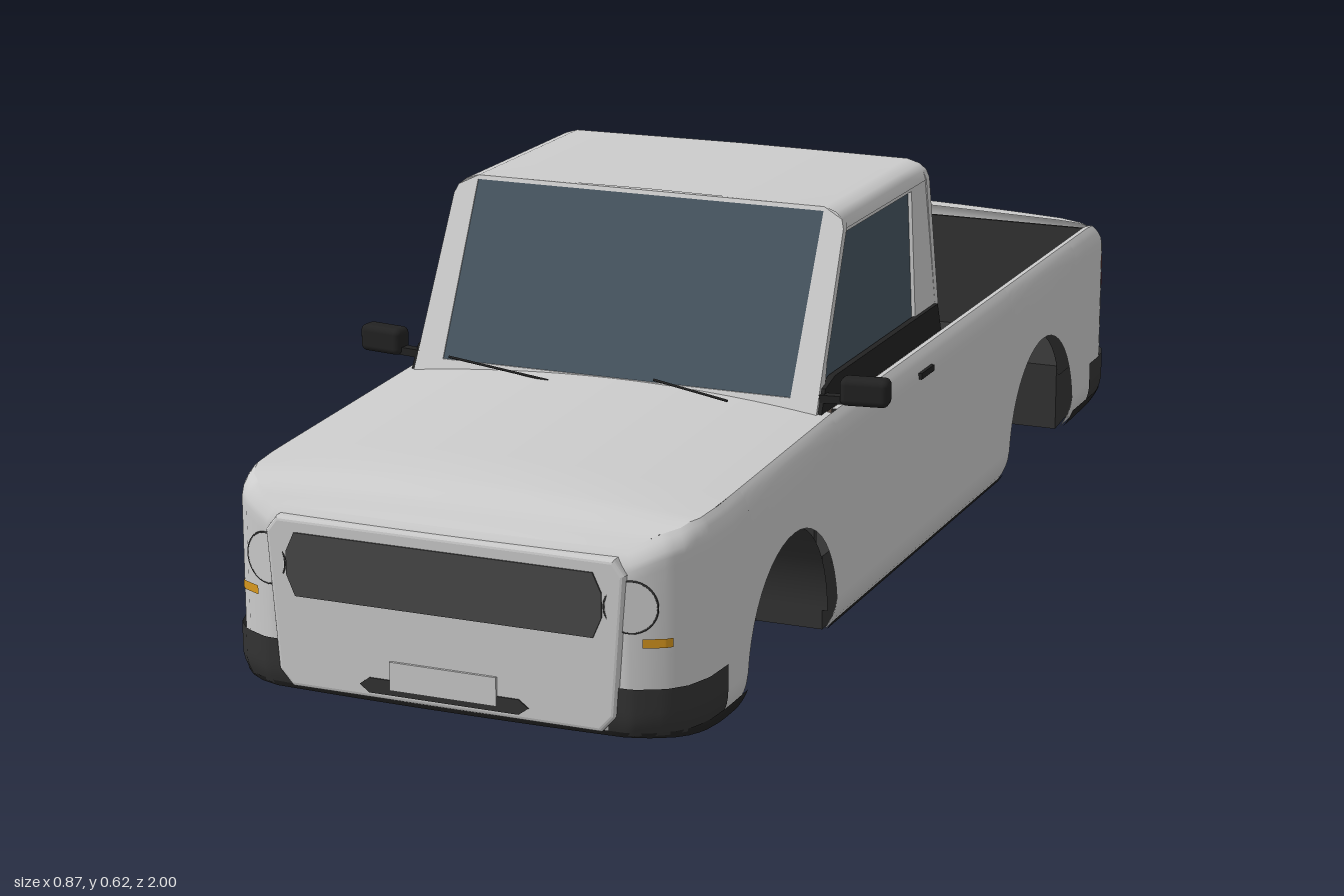
import * as THREE from 'three';
import { RoundedBoxGeometry } from 'three/addons/geometries/RoundedBoxGeometry.js';

const mat = (color) => new THREE.MeshStandardMaterial({ color, side: THREE.DoubleSide });
const paint = mat(0xcccccc), dark = mat(0x333333), black = mat(0x222222), glass = mat(0x46545f);
const red = mat(0x8e2222), amber = mat(0xd9981e), brown = mat(0x5c5149), grilleGrey = mat(0x484848);
const { lerp, clamp } = THREE.MathUtils;

// linear lookup in a table of [key, value], keys rising
function lookup(table, k) {
  if (k <= table[0][0]) return table[0][1];
  for (let i = 1; i < table.length; i++) {
    const [a, va] = table[i - 1], [b, vb] = table[i];
    if (k <= b) return lerp(va, vb, (k - a) / (b - a));
  }
  return table[table.length - 1][1];
}

// Body outline: t equals z along the side, and runs on past END across the nose or tail to x = 0
const END = 0.985, END_X = 0.28, MAX = END + END_X;
const ARCHES = [0.587, -0.58], R = 0.177, ARCH_Y = 0.035;
const frontWidth = [[0.84, 0.36], [0.9, 0.356], [0.94, 0.342], [0.965, 0.32], [END, END_X]];
const rearWidth = [[0.89, 0.36], [0.926, 0.357], [0.95, 0.349], [0.965, 0.338], [0.978, 0.314], [END, END_X]];
const topTable = [[-MAX, 0.337], [-END, 0.33], [-0.956, 0.322], [-0.942, 0.315], [-0.925, 0.335], [-0.88, 0.34],
  [0.4, 0.34], [0.92, 0.322], [0.965, 0.312], [END, 0.292]];
const topY = (t) => lookup(topTable, t);
const bulge = (t, x) => (t > 0 ? 0.006 : 0.015) * (1 - (x / END_X) ** 2);

function bottomY(t) {
  for (const c of ARCHES) if (Math.abs(t - c) < R) return ARCH_Y + Math.sqrt(R * R - (t - c) ** 2);
  return 0.005 + 0.022 * clamp((Math.abs(t) - 0.8) / 0.18, 0, 1);
}

// point on the body skin, rounded in at sill and shoulder, moved outward by off
function skin(t, y, off = 0) {
  const a = Math.abs(t), s = Math.sign(t);
  let x = a > END ? Math.max(0, END_X - (a - END)) : lookup(t > 0 ? frontWidth : rearWidth, a);
  let z = a > END ? s * (END + bulge(t, x)) : t;
  const up = clamp((y - topY(t) + 0.03) / 0.03, 0, 1), low = clamp((0.06 - y) / 0.06, 0, 1);
  const inset = 0.015 * up * up + 0.025 * low * low - off;
  x -= inset * x / 0.36;
  z -= s * inset * clamp((a - 0.84) / 0.12, 0, 1);
  return new THREE.Vector3(x, y, z);
}

// surface through f(u, v) for the listed u and v
function grid(us, vs, f) {
  const pos = [], idx = [], n = vs.length;
  us.forEach((u) => vs.forEach((v) => pos.push(...f(u, v).toArray())));
  for (let i = 0; i < us.length - 1; i++) for (let j = 0; j < n - 1; j++) {
    const a = i * n + j;
    idx.push(a, a + n, a + 1, a + 1, a + n, a + n + 1);
  }
  const g = new THREE.BufferGeometry();
  g.setAttribute('position', new THREE.Float32BufferAttribute(pos, 3));
  g.setIndex(idx);
  g.computeVertexNormals();
  return g;
}
const steps = (a, b, n) => Array.from({ length: n + 1 }, (_, i) => lerp(a, b, i / n));

// outline stations, dense at the wheel arches and corners
function stations(from, to) {
  const list = [from, to, ...steps(-MAX, -0.82, 40), ...steps(0.82, MAX, 40), ...steps(-0.35, 0.37, 6)];
  for (const c of ARCHES) {
    for (let i = 0; i <= 24; i++) list.push(c + R * 0.9999 * Math.cos(Math.PI * i / 24));
    list.push(c - R - 0.0005, c + R + 0.0005);
  }
  return list.filter((t) => t >= from && t <= to).sort((a, b) => a - b);
}

const poly = (pts) => new THREE.Shape(pts.map((p) => new THREE.Vector2(...p)));
function withHole(outer, hole) {
  const s = poly(outer);
  s.holes.push(poly(hole));
  return s;
}
// extruded panel whose points (a, b, depth) are placed by a rule
function bent(shape, depth, rule) {
  const g = new THREE.ExtrudeGeometry(shape, { depth, bevelEnabled: false }), p = g.attributes.position;
  for (let i = 0; i < p.count; i++) p.setXYZ(i, ...rule(p.getX(i), p.getY(i), p.getZ(i)));
  g.computeVertexNormals();
  return g;
}

// leaning planes of the cabin
const zFront = (y) => 0.415 - (y - 0.36) * 0.52;
const zRear = (y) => -0.085 - (0.62 - y) * 0.14;
const xSide = (y) => 0.33 - (y - 0.345) * 0.045;

export function createModel() {
  const root = new THREE.Group();
  const add = (name, geo, m, x = 0, y = 0, z = 0, parent = root) => {
    const mesh = new THREE.Mesh(geo, m);
    mesh.name = name;
    mesh.position.set(x, y, z);
    parent.add(mesh);
    return mesh;
  };
  const group = (name, x, y, z, parent = root) => {
    const g = new THREE.Group();
    g.name = name;
    g.position.set(x, y, z);
    parent.add(g);
    return g;
  };
  const box = (name, w, h, d, m, x, y, z, parent) => add(name, new THREE.BoxGeometry(w, h, d), m, x, y, z, parent);
  const round = (name, w, h, d, r, m, x, y, z, parent) =>
    add(name, new RoundedBoxGeometry(w, h, d, 3, r), m, x, y, z, parent);

  for (const s of [1, -1]) {
    const side = s > 0 ? 'left' : 'right';
    const put = (name, us, vs, m, f) => add(side + name, grid(us, vs, (u, v) => {
      const p = f(u, v);
      p.x *= s;
      return p;
    }), m);
    const patch = (name, t0, t1, y0, y1, off, m) =>
      put(name, steps(t0, t1, 24), steps(0, 1, 6), m, (t, v) => skin(t, lerp(Math.max(y0, bottomY(t)), y1, v), off));
    const rows = [0, 0.04, 0.08, 0.12, 0.16, 0.3, 0.5, 0.7, 0.85, 0.9, 0.93, 0.96, 0.98, 1];
    const wall = (t, v) => skin(t, lerp(bottomY(t), topY(t), v));

    // outer skin, inner bed wall and the ledge between them
    put('BodySide', stations(-0.94, MAX), rows, paint, wall);
    put('InnerWall', stations(-0.94, 0.38), steps(0, 1, 6), dark,
      (t, v) => skin(t, lerp(Math.max(0.1, bottomY(t)), topY(t), v)).setX(0.337));
    put('BedLedge', stations(-0.94, 0.38), [0, 1], paint, (t, v) => {
      const p = skin(t, topY(t));
      return p.setX(lerp(p.x, 0.337, v));
    });

    // tailgate half
    put('Tailgate', stations(-MAX, -0.956), rows, paint, wall);
    put('TailgateLedge', stations(-MAX, -0.956), [0, 1], paint, (t, v) => {
      const p = skin(t, topY(t));
      return p.setZ(lerp(p.z, -0.952, v));
    });

    // trim following the skin
    for (const e of [1, -1]) {
      patch('CornerBumper', e * 0.845, e * 1.02, 0.03, 0.1, 0.004, dark);
      patch('LowerLip', e > 0 ? 0.766 : -0.759, e * MAX, 0, 0.035, 0.005, black);
    }
    patch('Sill', -0.4, 0.408, 0, 0.018, 0.003, black);
    patch('Indicator', 0.957, 0.979, 0.159, 0.172, 0.004, amber);
    patch('TailLight', -0.961, -1.0, 0.215, 0.268, 0.005, red);
    patch('TailLightInner', -1.0, -1.045, 0.22, 0.256, 0.005, red);
    box(side + 'DoorHandle', 0.012, 0.01, 0.058, black, s * 0.359, 0.309, 0.03);

    // front wheel housing
    add(side + 'WheelHousing', new THREE.CylinderGeometry(R, R, 0.115, 24, 1, true, 0, Math.PI).rotateZ(Math.PI / 2),
      dark, s * 0.287, ARCH_Y, ARCHES[0]);
    add(side + 'HousingWall', new THREE.CircleGeometry(R, 24, 0, Math.PI).rotateY(Math.PI / 2), dark, s * 0.23, ARCH_Y, ARCHES[0]);

    // headlight with rim, turned to follow the corner
    const lamp = group(side + 'Headlight', s * 0.279, 0.216, 0.985);
    lamp.rotation.y = s * 0.3;
    add('lens', new THREE.CylinderGeometry(0.036, 0.036, 0.03, 32).rotateX(Math.PI / 2), paint, 0, 0, -0.014, lamp);
    add('rim', new THREE.TorusGeometry(0.037, 0.0015, 6, 32), dark, 0, 0, 0, lamp);

    // cabin side with window and dark belt strip
    const lean = (off) => (a, b, c) => [s * (xSide(b) + off - c), b, a];
    add(side + 'CabinSide', bent(withHole(
      [[zFront(0.335), 0.335], [zFront(0.592), 0.592], [zRear(0.592), 0.592], [zRear(0.335), 0.335]],
      [[0.385, 0.375], [0.37, 0.42], [0.295, 0.57], [0.275, 0.585], [-0.01, 0.585], [-0.01, 0.375]]), 0.02, lean(0)), paint);
    add(side + 'Window', bent(poly([[0.388, 0.372], [0.29, 0.588], [-0.013, 0.588], [-0.013, 0.372]]), 0.004, lean(-0.006)), glass);
    add(side + 'BeltStrip', bent(poly([[0.42, 0.34], [0.4, 0.375], [0.36, 0.385], [-0.1, 0.385], [-0.112, 0.34]]), 0.01, lean(0.006)), black);

    // door mirror
    const mirror = group(side + 'Mirror', s * 0.395, 0.376, 0.393);
    mirror.rotation.y = s * 0.15;
    round('mirrorHousing', 0.074, 0.042, 0.034, 0.01, black, 0, 0, 0, mirror);
    box('mirrorArm', 0.06, 0.012, 0.016, black, -s * 0.04, -0.014, 0, mirror);

    // seat back with headrest
    const seat = group(side + 'Seat', s * 0.162, 0.12, -0.115);
    seat.rotation.x = -0.16;
    round('backrest', 0.17, 0.245, 0.045, 0.02, brown, 0, 0.125, 0, seat);
    round('headrest', 0.096, 0.06, 0.034, 0.013, brown, 0, 0.293, 0, seat);
    for (const k of [-1, 1]) box('headrestPost', 0.008, 0.04, 0.008, dark, k * 0.022, 0.255, 0, seat);

    // wiper
    const a = new THREE.Vector3(s > 0 ? 0.07 : -0.27, 0.367, 0.424), b = new THREE.Vector3(s > 0 ? 0.2 : -0.09, 0.356, 0.452);
    add(side + 'Wiper', new THREE.TubeGeometry(new THREE.LineCurve3(a, b), 1, 0.002, 6), black);
  }

  // hood
  add('hood', grid([...steps(0.4, 0.9, 10), 0.92, 0.94, 0.955, 0.965, 0.975, END], steps(-1, 1, 24), (t, v) => {
    const p = skin(t, topY(t));
    p.x *= v;
    p.y += 0.02 * clamp((END - t) / 0.12, 0, 1) * (1 - v * v);
    if (t === END) p.z += 0.006 * (1 - v * v);
    return p;
  }), paint);

  // nose panel, grille and number plate
  const nose = new THREE.ExtrudeGeometry(
    poly([[-0.235, 0.04], [0.235, 0.04], [0.253, 0.06], [0.268, 0.26], [0.255, 0.277], [-0.255, 0.277], [-0.268, 0.26], [-0.253, 0.06]]),
    { depth: 0.022, bevelSize: 0.006, bevelThickness: 0.006, bevelSegments: 3 });
  add('nosePanel', nose, paint, 0, 0, 0.968);
  const flat = (pts) => new THREE.ExtrudeGeometry(poly(pts), { depth: 0.01, bevelEnabled: false });
  add('grille', flat([[-0.228, 0.17], [0.228, 0.17], [0.241, 0.2], [0.241, 0.235], [0.228, 0.263], [-0.228, 0.263], [-0.241, 0.235], [-0.241, 0.2]]),
    grilleGrey, 0, 0, 0.9885);
  add('plateBracket', flat([[-0.115, 0.043], [0.115, 0.043], [0.13, 0.054], [0.115, 0.065], [-0.115, 0.065], [-0.13, 0.054]]), dark, 0, 0, 0.988);
  box('numberPlate', 0.164, 0.042, 0.012, paint, 0, 0.072, 0.994);

  // underbody slab with wheel notches; its upper face is the bed floor
  const outline = [[0.26, 0.955], [0.32, 0.9]];
  ARCHES.forEach((c, i) => {
    const r = i === 0 ? R : 0.157;
    outline.push([0.336, c + r], [0.23, c + r], [0.23, c - r], [0.336, c - r]);
  });
  outline.push([0.334, -0.935], [0.318, -0.953]);
  const full = [...outline, ...outline.map(([x, z]) => [-x, z]).reverse()];
  // its underside rises toward nose and tail
  add('floor', bent(poly(full), 0.117, (a, b, c) => [a, c > 0 ? 0.12 : bottomY(Math.max(Math.abs(b), 0.8)), b]), dark);
  box('bulkhead', 0.64, 0.22, 0.01, dark, 0, 0.23, 0.4);
  box('tailgateInner', 0.66, 0.215, 0.006, dark, 0, 0.212, -0.952);

  // windscreen frame and glass, rear wall and glass
  const shoulder = [[0.321, 0.592], [0.316, 0.605], [0.285, 0.62]];
  const face = [[-0.33, 0.335], [0.33, 0.335], ...shoulder, ...shoulder.map(([x, y]) => [-x, y]).reverse()];
  const opening = (x, y0, y1) => [[-x, y0], [x, y0], [x, y1], [-x, y1]];
  add('windscreenFrame', bent(withHole(face, opening(0.285, 0.36, 0.614)), 0.015, (a, b, c) => [a, b, zFront(b) - c]), paint);
  add('windscreen', bent(poly(opening(0.286, 0.358, 0.616)), 0.004, (a, b, c) => [a, b, zFront(b) - c - 0.002]), glass);
  add('rearWall', bent(withHole(face, opening(0.288, 0.465, 0.6)), 0.015, (a, b, c) => [a, b, zRear(b) + c]), paint);
  add('rearWindow', bent(poly(opening(0.29, 0.463, 0.602)), 0.004, (a, b, c) => [a, b, zRear(b) + c + 0.005]), glass);

  // roof with rounded shoulders
  const half = [[0.32, 0.59], [0.316, 0.605], [0.305, 0.614], [0.285, 0.62], [0.15, 0.621], [0, 0.622]];
  const across = [...half, ...half.slice(0, -1).reverse().map(([x, y]) => [-x, y])];
  add('roof', grid(steps(0, 1, 4), across, (u, [x, y]) => new THREE.Vector3(x, y, lerp(zFront(y), zRear(y), u))), paint);

  return root;
}
